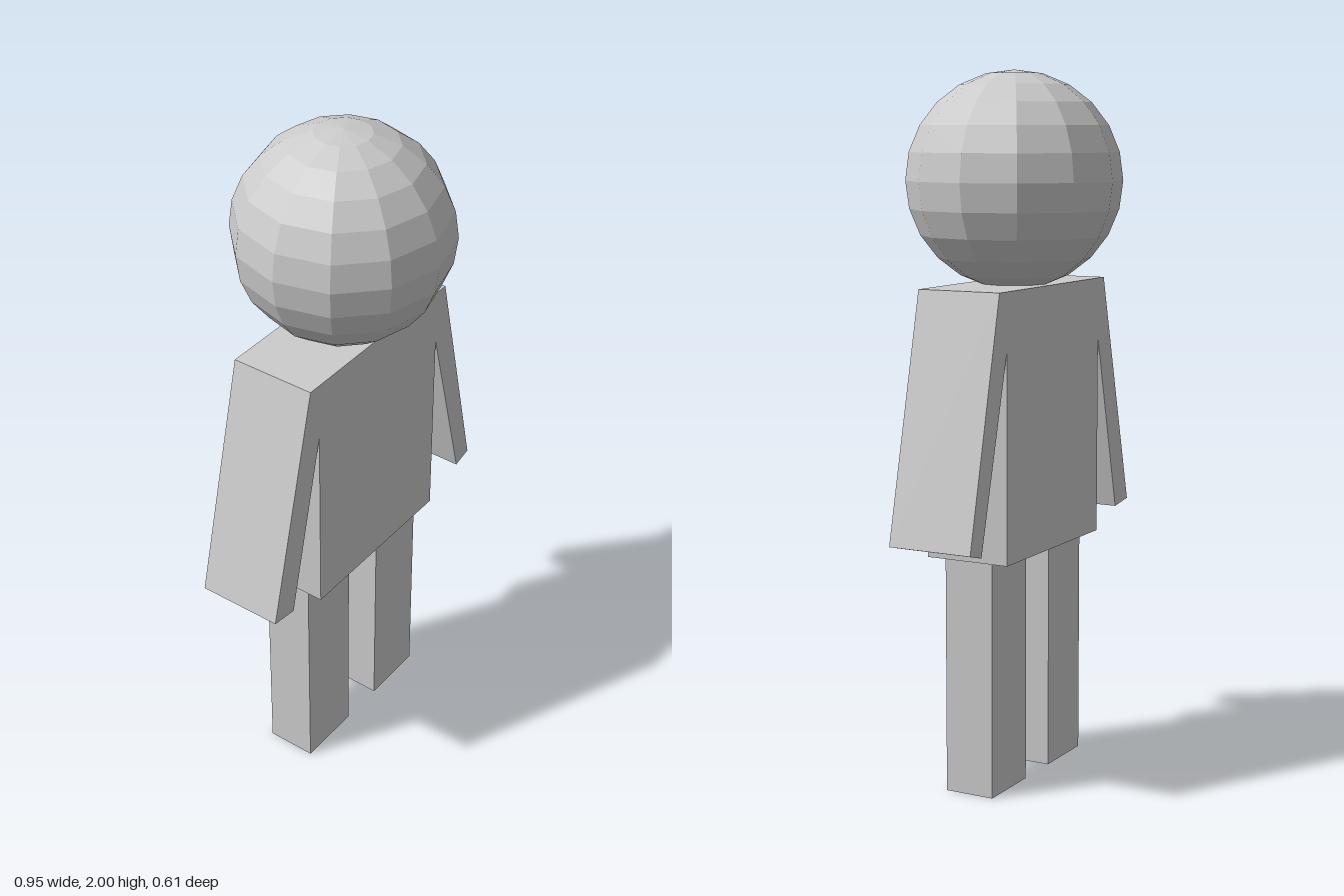
import * as THREE from 'three';

export function createModel() {
  const model = new THREE.Group();
  const material = new THREE.MeshStandardMaterial({ color: 0xcccccc, flatShading: true });

  const add = (name, geometry, x, y, z) => {
    const mesh = new THREE.Mesh(geometry, material);
    mesh.name = name;
    mesh.position.set(x, y, z);
    model.add(mesh);
  };

  // Faceted ball head
  add('head', new THREE.SphereGeometry(0.303, 12, 12), 0.005, 1.697, 0);

  // Torso and slanted arms cut from one slab
  const outline = [
    [-0.272, 0.667], [0.275, 0.667], [0.275, 1.25],
    [0.415, 0.717], [0.475, 0.733], [0.315, 1.412],
    [-0.308, 1.412], [-0.479, 0.729], [-0.397, 0.718], [-0.272, 1.242],
  ].map(([x, y]) => new THREE.Vector2(x, y));
  const depth = 0.25;
  const slab = new THREE.ExtrudeGeometry(new THREE.Shape(outline), { depth, bevelEnabled: false });
  add('torsoAndArms', slab, 0, 0, -depth / 2);

  // Square legs
  for (const [name, x] of [['rightLeg', -0.164], ['leftLeg', 0.169]]) {
    add(name, new THREE.BoxGeometry(0.196, 0.667, 0.146), x, 0.3335, 0);
  }

  return model;
}
